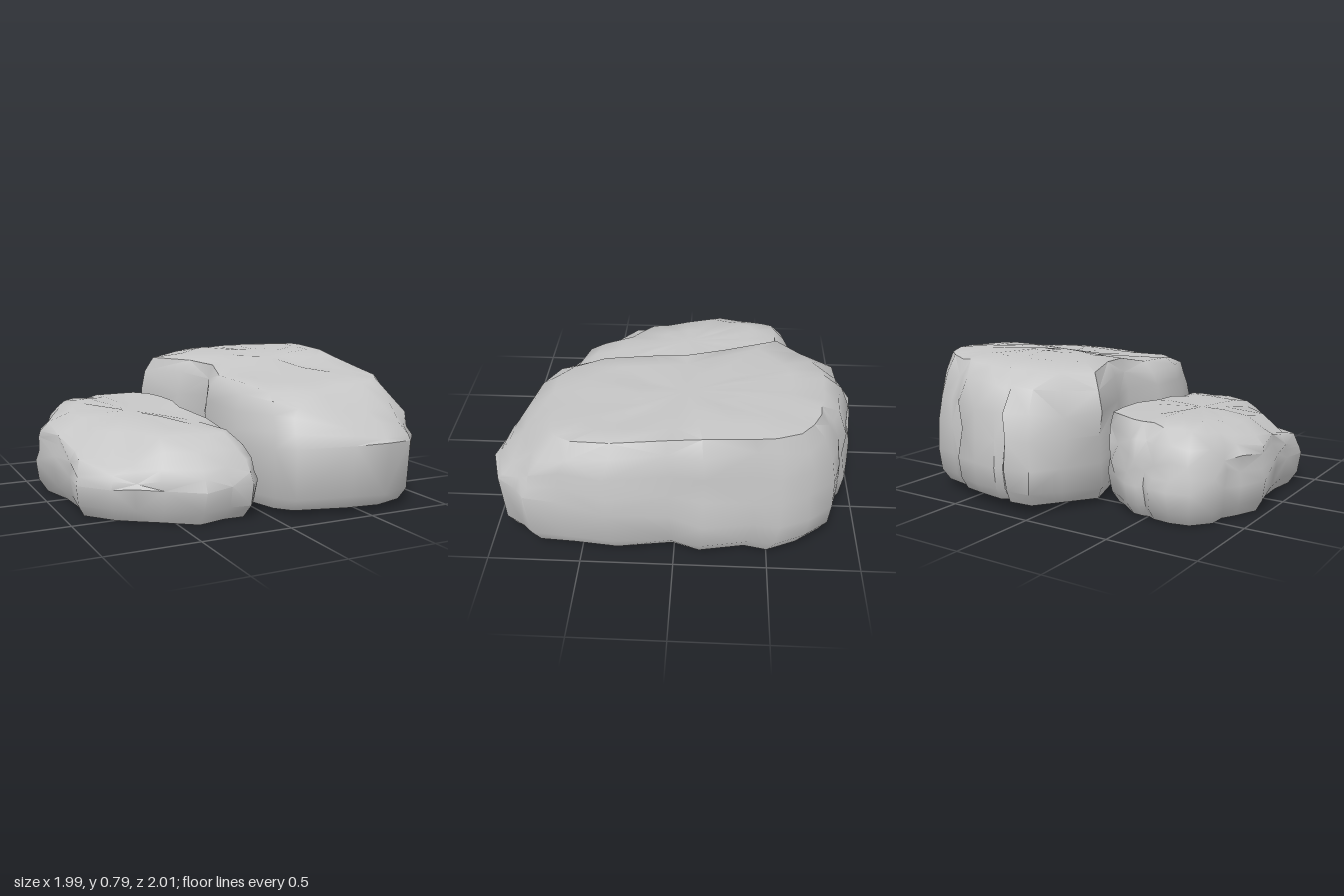
import * as THREE from 'three';
import { toCreasedNormals } from 'three/addons/utils/BufferGeometryUtils.js';

// Stations around each boulder: widest x, z, then rim x, z, y of the flat top.
const LARGE = [
  [0, -.98, .1, -.74, .74], [.14, -1, .19, -.79, .75], [.18, -.96, .24, -.79, .75], [.22, -.99, .29, -.8, .75],
  [.38, -.97, .4, -.79, .76], [.53, -.94, .5, -.78, .76], [.56, -.9, .57, -.76, .77], [.61, -.89, .64, -.75, .77],
  [.77, -.85, .74, -.71, .77], [.87, -.72, .82, -.64, .78], [.95, -.55, .88, -.52, .79], [.93, -.42, .89, -.4, .79],
  [.99, -.15, .89, -.15, .78], [.94, .02, .87, .02, .75], [.97, .35, .86, .32, .71], [.93, .6, .83, .53, .69],
  [.91, .79, .78, .61, .68], [.85, .84, .72, .65, .67], [.78, .95, .64, .66, .67], [.6, 1, .5, .67, .66],
  [.4, .97, .34, .7, .65], [.1, .88, .18, .7, .65], [.02, .79, .08, .62, .65], [-.07, .52, .02, .45, .67],
  [-.12, .18, 0, .16, .69], [-.03, -.02, .05, -.03, .72], [-.1, -.25, 0, -.25, .73], [-.2, -.6, -.13, -.56, .73],
  [-.09, -.8, 0, -.68, .73],
];
const SMALL = [
  [-.78, -.69, -.73, -.56, .48], [-.67, -.72, -.66, -.58, .49], [-.56, -.71, -.57, -.58, .49], [-.51, -.68, -.51, -.57, .5],
  [-.47, -.69, -.45, -.58, .5], [-.4, -.68, -.38, -.57, .5], [-.27, -.58, -.28, -.53, .51], [-.2, -.54, -.2, -.47, .51],
  [-.15, -.38, -.17, -.34, .51], [-.1, -.18, -.16, -.17, .5], [-.13, -.02, -.19, 0, .49], [-.07, .06, -.17, .08, .48],
  [-.06, .3, -.14, .28, .46], [-.01, .58, -.13, .44, .44], [-.03, .7, -.14, .53, .44], [-.1, .79, -.18, .58, .44],
  [-.22, .79, -.26, .58, .44], [-.39, .83, -.38, .57, .44], [-.57, .71, -.53, .53, .43], [-.7, .63, -.65, .47, .36],
  [-.8, .56, -.75, .41, .33], [-.94, .4, -.86, .31, .32], [-.93, .22, -.86, .18, .35], [-.95, 0, -.87, 0, .4],
  [-1, -.25, -.92, -.22, .42], [-.93, -.4, -.86, -.35, .44], [-.88, -.48, -.81, -.42, .46], [-.87, -.58, -.78, -.5, .47],
];

const { lerp, clamp, smoothstep } = THREE.MathUtils;

function seeded(seed) {
  return () => {
    seed = (seed * 16807) % 2147483647;
    return seed / 2147483647 - 0.5;
  };
}

// Stacks rings from the flat underside, over the belly, to the crown.
function boulderGeometry({ stations, centre: [cx, cz], base, waist, crown, slope, seed }) {
  const rand = seeded(seed);
  const n = stations.length;
  const rings = [];
  const addRing = (rule, rough = 0) => rings.push(stations.map((s) => {
    const p = rule(s);
    return [p[0] + rand() * rough, p[1] + rand() * rough, p[2] + rand() * rough];
  }));
  const towards = (x, z, d) => {
    const k = 1 - d / Math.hypot(x - cx, z - cz);
    return [cx + (x - cx) * k, cz + (z - cz) * k];
  };

  // underside with a crisp lower edge
  const floor = (x, z) => base + 0.012 * Math.max(0, x) + 0.08 * Math.max(0, -z - 0.65);
  for (const [inset, rise, rough] of [[0.07, 0, 0], [0.022, 0.07, 0.01]]) {
    addRing(([x, z]) => {
      const p = towards(x, z, inset);
      return [p[0], floor(x, z) + rise, p[1]];
    }, rough);
  }

  // sides, curving in to the rim
  for (const [h, v] of [[0, 0], [0.1, 0.3], [0.24, 0.58], [0.52, 0.83], [1, 1]]) {
    addRing(([x, z, tx, tz, ty]) => [
      lerp(x, tx, h), lerp(waist(z), ty, lerp(v, h, slope(x, z))), lerp(z, tz, h),
    ], h > 0 && h < 1 ? 0.035 : 0.012);
  }

  // gently uneven top
  for (const k of [0.75, 0.35]) {
    addRing(([, , tx, tz, ty]) => {
      const x = lerp(cx, tx, k), z = lerp(cz, tz, k);
      return [x, lerp(crown(x, z), ty, k * k * 0.5), z];
    }, 0.008);
  }

  const points = rings.flat(2);
  points.push(cx, floor(cx, cz), cz, cx, crown(cx, cz), cz);
  const bottom = rings.length * n, top = bottom + 1, last = (rings.length - 1) * n;
  const index = [];
  for (let i = 0; i < n; i++) {
    const j = (i + 1) % n;
    for (let r = 0; r < rings.length - 1; r++) {
      const a = r * n + i, b = r * n + j;
      // alternate the diagonals for a chipped look
      if ((i + r) % 2) index.push(a, a + n, b, b, a + n, b + n);
      else index.push(a, a + n, b + n, a, b + n, b);
    }
    index.push(bottom, i, j, top, last + j, last + i);
  }
  const geometry = new THREE.BufferGeometry();
  geometry.setAttribute('position', new THREE.Float32BufferAttribute(points, 3));
  geometry.setIndex(index);
  return toCreasedNormals(geometry, 0.88);
}

export function createModel() {
  const stone = new THREE.MeshStandardMaterial({ color: 0xc6c6c6 });
  stone.name = 'light grey stone';
  const group = new THREE.Group();
  group.name = 'boulders';

  const addBoulder = (name, options) => {
    const mesh = new THREE.Mesh(boulderGeometry(options), stone);
    mesh.name = name;
    group.add(mesh);
  };

  addBoulder('largeBoulder', {
    stations: LARGE, centre: [0.45, -0.05], base: 0.028, seed: 71,
    waist: (z) => Math.max(0.25, 0.29 + 0.1 * z),
    crown: (x, z) => 0.715 - 0.04 * z + 0.055 * smoothstep(-z, -0.15, 0.15) + 0.03 * (x - 0.5),
    // the front leans back most towards its left
    slope: (x, z) => 0.85 * clamp((z - 0.55) / 0.4, 0, 1) * clamp(0.2 + x * 1.3, 0.2, 1),
  });
  addBoulder('smallBoulder', {
    stations: SMALL, centre: [-0.5, -0.02], base: 0.005, seed: 1234,
    waist: () => 0.19,
    crown: (x, z) => 0.488 - 0.05 * z,
    // both ends lean in
    slope: (x, z) => 0.4 * clamp((Math.abs(z) - 0.45) / 0.25, 0, 1),
  });
  return group;
}
